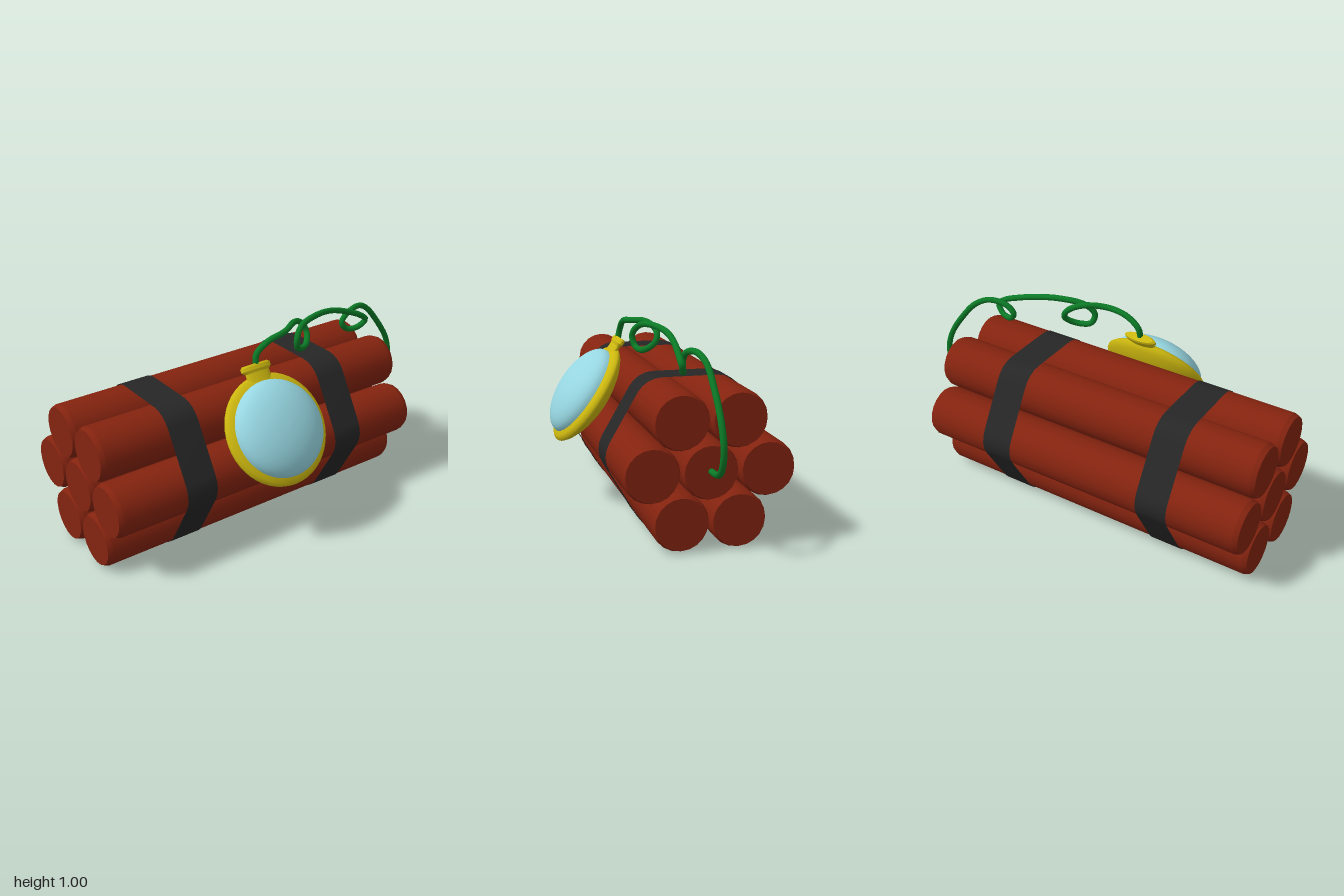
import * as THREE from 'three';
import { toCreasedNormals } from 'three/addons/utils/BufferGeometryUtils.js';

const material = (name, color, side = THREE.FrontSide) => {
  const m = new THREE.MeshStandardMaterial({ color, side });
  m.name = name;
  return m;
};

// Surface of revolution about y from [radius, height] pairs, listed upwards
const lathe = (profile, segments, crease) => {
  const g = new THREE.LatheGeometry(profile.map(([r, y]) => new THREE.Vector2(r, y)), segments);
  return crease ? toCreasedNormals(g, crease) : g;
};

export function createModel() {
  const red = material('red paper', 0x84230f);
  const black = material('black tape', 0x262626, THREE.DoubleSide);
  const yellow = material('yellow casing', 0xcdb80f);
  const blue = material('pale blue glass', 0x96d6e1);
  const green = material('green cord', 0x0b7a26);

  const model = new THREE.Group();
  const add = (parent, name, geometry, mat) => {
    const mesh = new THREE.Mesh(geometry, mat);
    mesh.name = name;
    parent.add(mesh);
    return mesh;
  };

  // Seven sticks: one in the middle, six around it
  const midY = 0.377, midZ = -0.07, spacing = 0.274, radius = 0.135;
  const half = 0.8925, stickX = -0.1075;
  const stickGeometry = lathe([
    [0, -half], [radius - 0.01, -half], [radius, -half + 0.025],
    [radius, half - 0.025], [radius - 0.01, half], [0, half],
  ], 20, 0.36);
  stickGeometry.rotateZ(-Math.PI / 2);
  const centres = [[midZ, midY]];
  for (let i = 0; i < 6; i++) {
    const a = i * Math.PI / 3;
    centres.push([midZ + spacing * Math.cos(a), midY + spacing * Math.sin(a)]);
  }
  const sticks = new THREE.Group();
  sticks.name = 'sticks';
  model.add(sticks);
  for (const [z, y] of centres) {
    add(sticks, 'stick', stickGeometry, red).position.set(stickX, y, z);
  }

  // Tape bands: thin sheets following the rounded hexagon around the bundle
  const outline = [];
  const arcSteps = 4, tapeRadius = radius + 0.004;
  for (let i = 0; i < 6; i++) {
    const [z, y] = centres[i + 1];
    for (let j = 0; j <= arcSteps; j++) {
      const a = (i - 0.5 + j / arcSteps) * Math.PI / 3;
      outline.push([z + tapeRadius * Math.cos(a), y + tapeRadius * Math.sin(a)]);
    }
  }
  outline.push(outline[0]);
  for (const [x, name] of [[-0.553, 'rightTape'], [0.348, 'leftTape']]) {
    const g = new THREE.PlaneGeometry(0.167, 1, 1, outline.length - 1);
    const p = g.attributes.position;
    for (let i = 0; i < p.count; i++) {
      const [z, y] = outline[outline.length - 1 - (i >> 1)];
      p.setXYZ(i, p.getX(i) + x, y, z);
    }
    g.computeVertexNormals();
    add(model, name, g, black);
  }

  // Tilted timer; its local y is the way the glass faces, local -z is its top
  const timer = new THREE.Group();
  timer.name = 'timer';
  timer.position.set(-0.11, 0.594, 0.352);
  timer.rotation.x = 0.965;
  model.add(timer);
  add(timer, 'casing', lathe([
    [0, -0.122], [0.08, -0.118], [0.16, -0.102], [0.22, -0.08], [0.262, -0.056],
    [0.282, -0.036], [0.283, -0.022], [0.268, -0.006], [0.24, 0.002],
  ], 48), yellow);
  const dome = [];
  for (let i = 0; i <= 12; i++) {
    const a = i / 12 * Math.PI / 2;
    dome.push([0.245 * Math.cos(a), 0.11 * Math.sin(a)]);
  }
  add(timer, 'glass', lathe(dome, 48), blue);

  // Flattened crown on top of the timer
  const crown = lathe([
    [0, 0], [0.07, 0], [0.07, 0.05], [0.088, 0.064], [0.088, 0.082], [0.075, 0.092], [0, 0.092],
  ], 24, 0.6);
  crown.scale(1, 1, 0.3);
  crown.rotateX(-Math.PI / 2);
  add(timer, 'crown', crown, yellow).position.set(0, -0.016, -0.245);

  // Cord with two loops, from the crown to the end of the middle stick
  const path = [
    [-0.11, 0.85, 0.16], [-0.10, 0.91, 0.15], [-0.03, 0.96, 0.15], [0.08, 0.98, 0.14],
    [0.19, 0.985, 0.08], [0.26, 0.95, 0.05], [0.285, 0.90, 0.06], [0.24, 0.855, 0.11],
    [0.17, 0.865, 0.135], [0.155, 0.92, 0.145], [0.20, 0.97, 0.12], [0.33, 0.986, 0.08],
    [0.46, 0.97, 0.05], [0.57, 0.935, 0.045], [0.66, 0.895, 0.05], [0.70, 0.86, 0.048],
    [0.66, 0.82, 0.03], [0.60, 0.82, 0.015], [0.57, 0.86, 0.005], [0.61, 0.90, 0],
    [0.70, 0.915, -0.02], [0.78, 0.88, -0.04], [0.88, 0.77, -0.05], [0.96, 0.645, -0.055],
    [0.984, 0.54, -0.06], [0.95, 0.44, -0.065], [0.88, 0.392, -0.07], [0.77, 0.38, -0.07],
  ].map((p) => new THREE.Vector3(...p));
  add(model, 'cord', new THREE.TubeGeometry(new THREE.CatmullRomCurve3(path), 180, 0.0155, 10), green);

  return model;
}
